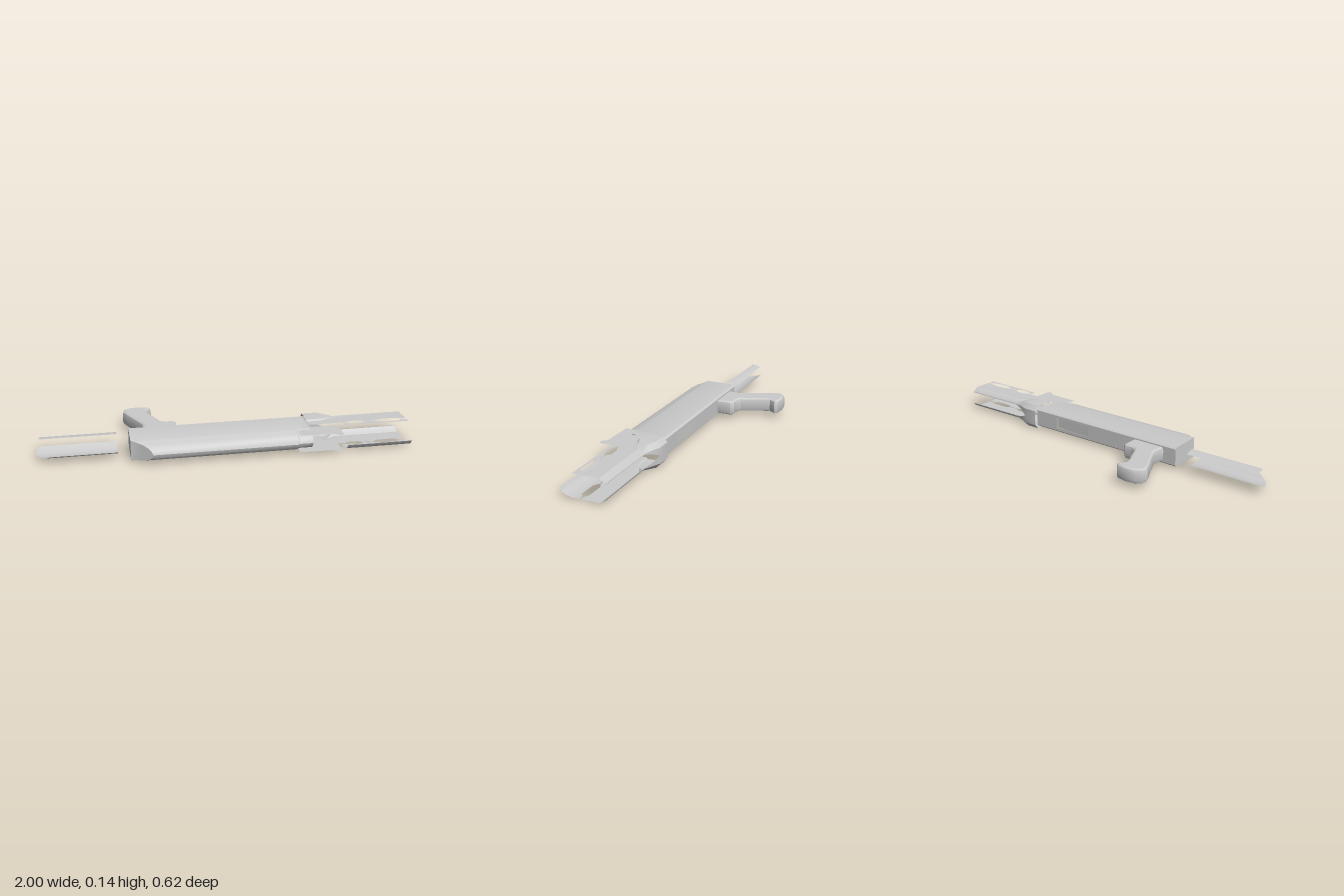
import * as THREE from 'three';
import { toCreasedNormals } from 'three/addons/utils/BufferGeometryUtils.js';

const MID = 0.075; // mirror plane of the thickness
const flip = ([x, y, z]) => [x, 2 * MID - y, z];

function mesh(name, geo, open) {
  const mat = new THREE.MeshStandardMaterial({ color: 0xcccccc, side: open ? THREE.DoubleSide : THREE.FrontSide });
  const m = new THREE.Mesh(toCreasedNormals(geo, 0.5), mat);
  m.name = name;
  return m;
}

// Surface through rows of [x, y, z] points
function sheet(rows) {
  const n = rows[0].length, index = [];
  for (let i = 0; i < rows.length - 1; i++)
    for (let j = 0; j < n - 1; j++) {
      const a = i * n + j, b = a + n;
      index.push(a, b, b + 1, a, b + 1, a + 1);
    }
  const g = new THREE.BufferGeometry();
  g.setAttribute('position', new THREE.Float32BufferAttribute(rows.flat(2), 3));
  g.setIndex(index);
  g.computeVertexNormals();
  return g;
}

const outline = pts => new THREE.Shape(pts.map(p => new THREE.Vector2(...p)));

// Flat plate drawn in x, z and laid at height y
function plate(pts, y) {
  const g = new THREE.ShapeGeometry(outline(pts));
  g.rotateX(Math.PI / 2);
  return g.translate(0, y, 0);
}

function receiver() {
  const group = new THREE.Group();
  group.name = 'receiver';
  // Lower half of the cross-section as [z, y]
  const half = [[0.02, 0.03], [0.03, 0.021], [0.2, 0.019], [0.212, 0.025], [0.24, 0.031],
    [0.262, 0.043], [0.274, 0.057], [0.28, MID]];
  const rearX = z => -0.51 + (z > 0.2 ? 0.01 + (z - 0.2) * 1.25 : 0);
  const section = (x, inset) => {
    const lo = half.map(([z, y]) => {
      const s = z > 0.2 ? inset : 0;
      return [x ?? rearX(z), y + (MID - y) * s * 8, z - s];
    });
    return { lo, loop: [...lo, ...lo.slice(0, -1).reverse().map(flip)] };
  };
  const parts = [section(null, 0), section(0.37, 0), section(0.375, 0.008), section(0.45, 0.008)];
  group.add(mesh('receiverShell', sheet(parts.map(s => s.loop))));
  group.add(mesh('rearFace', sheet(parts[0].lo.map(p => [p, flip(p)]))));
  const front = parts[3].lo.slice(2);
  front.unshift([0.45, 0.02, 0.165]);
  group.add(mesh('frontFace', sheet(front.map(p => [flip(p), p]))));

  // Underside with the loading port
  const floor = outline([[-0.45, 0.03], [0.51, 0.03], [0.51, 0.12], [-0.45, 0.12]]);
  floor.holes.push(new THREE.Path([[-0.3, 0.045], [-0.3, 0.105], [-0.07, 0.105], [-0.07, 0.045]]
    .map(p => new THREE.Vector2(...p))));
  group.add(mesh('underside', new THREE.ShapeGeometry(floor).rotateY(Math.PI).translate(0, 0, 0.02)));
  group.add(mesh('loadingGate', sheet([
    [[0.07, 0.045, 0.022], [0.07, 0.105, 0.022]],
    [[0.3, 0.045, 0.034], [0.3, 0.105, 0.034]]]), true));

  // Shallow long panel on one side
  const panel = new THREE.ExtrudeGeometry(
    outline([[-0.28, 0.12], [-0.24, 0.09], [-0.17, 0.08], [0.3, 0.08], [0.32, 0.1], [0.32, 0.14],
      [0.3, 0.16], [-0.17, 0.16], [-0.24, 0.15]]), { depth: 0.004, bevelEnabled: false });
  group.add(mesh('sidePanel', panel.rotateX(Math.PI / 2).translate(0, 0.02, 0)));
  return group;
}

function grip() {
  const pts = [[-0.435, 0.03], [-0.43, -0.05], [-0.455, -0.11], [-0.5, -0.2], [-0.522, -0.25], [-0.515, -0.285],
    [-0.48, -0.308], [-0.43, -0.314], [-0.375, -0.305], [-0.36, -0.285], [-0.385, -0.25], [-0.38, -0.22],
    [-0.325, -0.09], [-0.3, -0.078], [-0.255, -0.078], [-0.24, -0.06], [-0.24, 0.03]];
  const bevel = 0.02;
  const g = new THREE.ExtrudeGeometry(outline(pts), {
    depth: 0.04, bevelThickness: bevel, bevelSize: 0.014, bevelOffset: -0.014, bevelSegments: 2
  });
  return mesh('grip', g.rotateX(Math.PI / 2).translate(0, MID + 0.02, 0));
}

// Collar and side of the handguard; mirrored for the other side
function handguardSide(mirror) {
  const group = new THREE.Group();
  group.name = mirror ? 'lowerHandguard' : 'upperHandguard';
  const set = p => (mirror ? flip(p) : p);
  const rim = [[0.1, 0.137], [0.07, 0.137], [0.045, 0.122], [0.038, 0.113], [0.038, 0.11]];
  const rows = [
    [0.45, [[0.125, 0.137], [0.115, 0.145], [0.025, 0.145], [0, 0.118], [0, MID]]],
    [0.53, [[0.125, 0.137], [0.115, 0.145], [0.025, 0.145], [0, 0.118], [0, MID]]],
    [0.58, [[0.11, 0.137], [0.095, 0.14], [0.05, 0.14], [0.022, 0.117], [0.02, 0.098]]],
    [0.63, rim], [1, rim]
  ].map(([x, prof]) => prof.map(([z, y]) => set([x, y, z])));
  group.add(mesh('collarAndRim', sheet(rows), true));

  // Flat strip with vent notches along its edge
  const y = set([0, 0.137, 0])[1];
  group.add(mesh('ventedSide', plate([[0.45, 0.12], [0.53, 0.12], [0.58, 0.108], [0.63, 0.1], [1, 0.1],
    [1, 0.17], [0.97, 0.17], [0.95, 0.157], [0.85, 0.157], [0.82, 0.173], [0.76, 0.173],
    [0.74, 0.157], [0.68, 0.157], [0.66, 0.17], [0.45, 0.17]], y), true));
  group.add(mesh('ventRail', plate([[0.64, 0.18], [0.66, 0.182], [0.68, 0.197], [0.74, 0.197], [0.76, 0.178],
    [0.82, 0.178], [0.85, 0.197], [0.95, 0.197], [0.97, 0.182], [1, 0.182], [1, 0.21], [0.64, 0.21]], y), true));

  // Flat arm reaching forward from the receiver, with a small foot
  group.add(mesh('arm', plate([[0.38, 0.22], [0.45, 0.17], [0.61, 0.17], [0.61, 0.295], [0.595, 0.305],
    [0.575, 0.3], [0.565, 0.28], [0.38, 0.275]], mirror ? 0.028 : 0.123), true));
  return group;
}

export function createModel() {
  const model = new THREE.Group();
  model.add(receiver(), grip(), handguardSide(false), handguardSide(true));

  // Curved cover under the front
  const cover = [[0.21, 0.013], [0.235, 0.016], [0.255, 0.022], [0.272, 0.034], [0.283, 0.052]];
  model.add(mesh('frontCover', sheet([0.64, 1].map(x => cover.map(([z, y]) => [x, y, z]))), true));

  // Rear shells: [z, y, rear x]
  const shells = {
    rearLowerShell: [[0.02, 0.056, -0.98], [0.04, 0.046, -0.995], [0.07, 0.036, -1], [0.1, 0.032, -0.99],
      [0.13, 0.035, -0.97], [0.15, 0.042, -0.945], [0.16, 0.051, -0.92]],
    rearUpperShell: [[0.025, 0.11, -0.975], [0.04, 0.116, -0.98], [0.06, 0.12, -0.98], [0.08, 0.121, -0.975]]
  };
  for (const [name, pts] of Object.entries(shells))
    model.add(mesh(name, sheet(pts.map(([z, y, x]) => [[x, y, z], [-0.575, y, z]])), true));
  return model;
}
